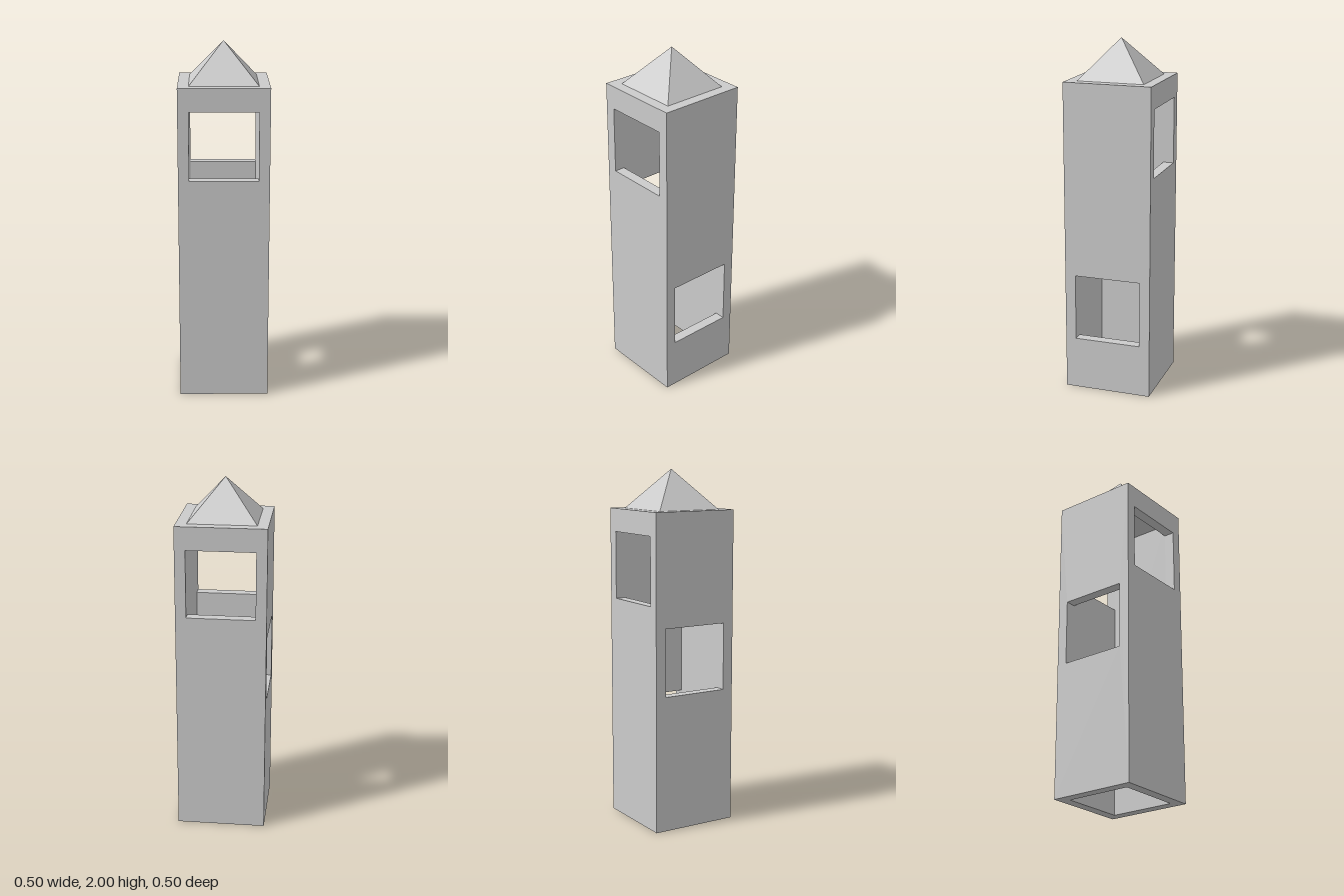
import * as THREE from 'three';

const R = 0.25;        // outer half width
const IN = 0.19;       // inner half width, also window half width
const T = R - IN;      // wall thickness
const H = 1.78;        // shaft height
const CEIL = H - T;    // underside of the roof slab
const WIN = 2 * IN;    // square window size

const material = new THREE.MeshStandardMaterial({ color: 0xcccccc, flatShading: true });

function add(parent, name, geometry, position = [0, 0, 0], rotation = [0, 0, 0]) {
  const mesh = new THREE.Mesh(geometry, material);
  mesh.name = name;
  mesh.position.set(...position);
  mesh.rotation.set(...rotation);
  parent.add(mesh);
  return mesh;
}

// Rectangle with a rectangular opening, in the xy plane
function frame(x, y0, y1, hx, hy0, hy1) {
  const corners = (a, b, c) => [[-a, b], [a, b], [a, c], [-a, c]].map(p => new THREE.Vector2(...p));
  const shape = new THREE.Shape(corners(x, y0, y1));
  shape.holes.push(new THREE.Path(corners(hx, hy0, hy1).reverse()));
  return new THREE.ShapeGeometry(shape);
}

// One wall of the hollow shaft, facing +z, with a window starting at the sill height
function makeWall(name, sill, angle) {
  const wall = new THREE.Group();
  wall.name = name;
  const head = sill + WIN, mid = (R + IN) / 2, q = Math.PI / 2;
  add(wall, 'outerFace', frame(R, 0, H, IN, sill, head), [0, 0, R]);

  // Inside faces below and above the window
  for (const [part, a, b] of [['innerFaceLower', 0, sill], ['innerFaceUpper', head, CEIL]]) {
    add(wall, part, new THREE.PlaneGeometry(WIN, b - a), [0, (a + b) / 2, IN], [0, Math.PI, 0]);
  }

  // Window reveals
  add(wall, 'windowSill', new THREE.PlaneGeometry(WIN, T), [0, sill, mid], [-q, 0, 0]);
  add(wall, 'windowLintel', new THREE.PlaneGeometry(WIN, T), [0, head, mid], [q, 0, 0]);
  for (const s of [-1, 1]) {
    add(wall, 'windowJamb', new THREE.PlaneGeometry(T, WIN), [s * IN, sill + IN, mid], [0, -s * q, 0]);
  }
  wall.rotation.y = angle;
  return wall;
}

export function createModel() {
  const tower = new THREE.Group();
  tower.name = 'tower';
  const q = Math.PI / 2;

  // Walls: front and back windows high, side windows at stepped heights
  tower.add(
    makeWall('frontWall', 1.27, 0),
    makeWall('leftWall', 0.3, q),
    makeWall('backWall', 1.27, Math.PI),
    makeWall('rightWall', 0.77, -q),
  );

  // Open foot, ceiling and roof ledge
  add(tower, 'footRim', frame(R, -R, R, IN, -IN, IN), [0, 0, 0], [q, 0, 0]);
  add(tower, 'ceiling', new THREE.PlaneGeometry(WIN, WIN), [0, CEIL, 0], [q, 0, 0]);
  add(tower, 'roofLedge', frame(R, -R, R, IN, -IN, IN), [0, H, 0], [-q, 0, 0]);

  // Pyramid roof
  const roofHeight = 2 - H;
  add(tower, 'pyramidRoof', new THREE.ConeGeometry(IN * Math.SQRT2, roofHeight, 4, 1, true),
    [0, H + roofHeight / 2, 0], [0, Math.PI / 4, 0]);

  return tower;
}
